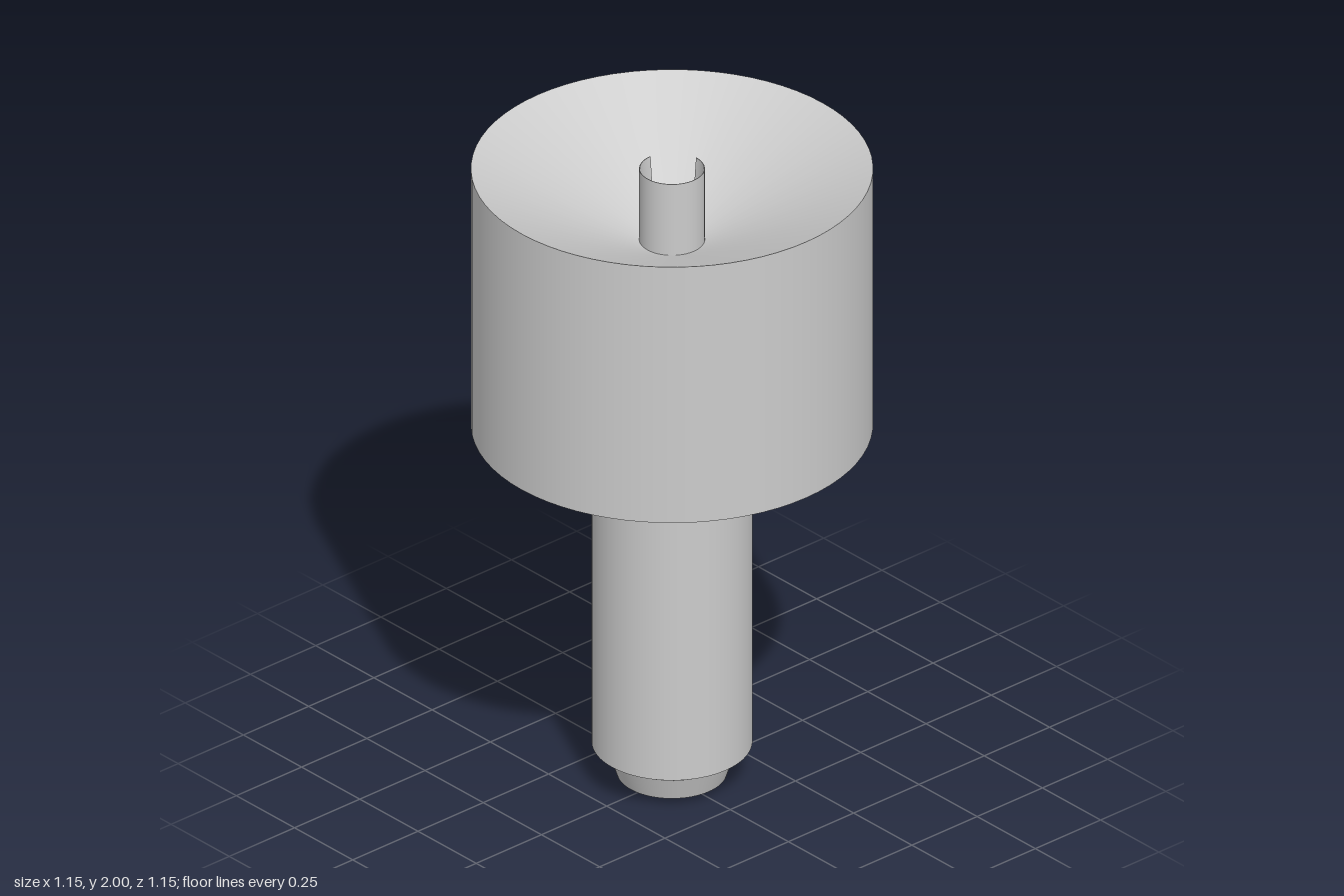
import * as THREE from 'three';
import { mergeGeometries } from 'three/addons/utils/BufferGeometryUtils.js';

const material = new THREE.MeshStandardMaterial({ color: 0xcccccc, side: THREE.DoubleSide });
const SEGMENTS = 72;

// Turn each profile segment separately so the edges between them stay sharp.
function turned(profile, start = 0, length = Math.PI * 2) {
  const parts = [];
  for (let i = 0; i < profile.length - 1; i++) {
    const pair = [profile[i], profile[i + 1]].map(([r, y]) => new THREE.Vector2(r, y));
    parts.push(new THREE.LatheGeometry(pair, SEGMENTS, start, length));
  }
  return mergeGeometries(parts);
}

function addPart(parent, name, geometry) {
  const mesh = new THREE.Mesh(geometry, material);
  mesh.name = name;
  parent.add(mesh);
  return mesh;
}

export function createModel() {
  const model = new THREE.Group();
  model.name = 'pinWithFunnel';

  // Thin outer shell, open underneath
  addPart(model, 'outerShell', turned([[0.575, 1.16], [0.575, 2]]));

  // Funnel sloping down from the rim to the central hole
  addPart(model, 'funnel', turned([[0.575, 2], [0.073, 1.757]]));

  // Hollow pin with a stepped, chamfered foot and a tapered shoulder
  addPart(model, 'pinBody', turned([
    [0.098, 0], [0.158, 0.02], [0.182, 0.092], [0.23, 0.12], [0.23, 1.015],
    [0.143, 1.255], [0.098, 1.255], [0.098, 0],
  ]));

  // Central tube with a quarter cut away along its length, bore flared at both ends
  const tube = new THREE.Group();
  tube.name = 'slottedTube';
  model.add(tube);
  const section = [
    [0.094, 0.02], [0.094, 2], [0.092, 2], [0.073, 1.757], [0.073, 0.26], [0.092, 0.02], [0.094, 0.02],
  ];
  const slotStart = Math.PI * 1.5;
  const sweep = Math.PI * 1.5;
  addPart(tube, 'tubeWall', turned(section, slotStart, sweep));

  // Flat faces closing the tube wall on both sides of the slot
  const face = new THREE.ShapeGeometry(
    new THREE.Shape(section.slice(0, -1).map(([r, y]) => new THREE.Vector2(r, y))));
  for (const angle of [slotStart, slotStart + sweep]) {
    addPart(tube, 'slotFace', face).rotation.y = angle - Math.PI / 2;
  }

  return model;
}
